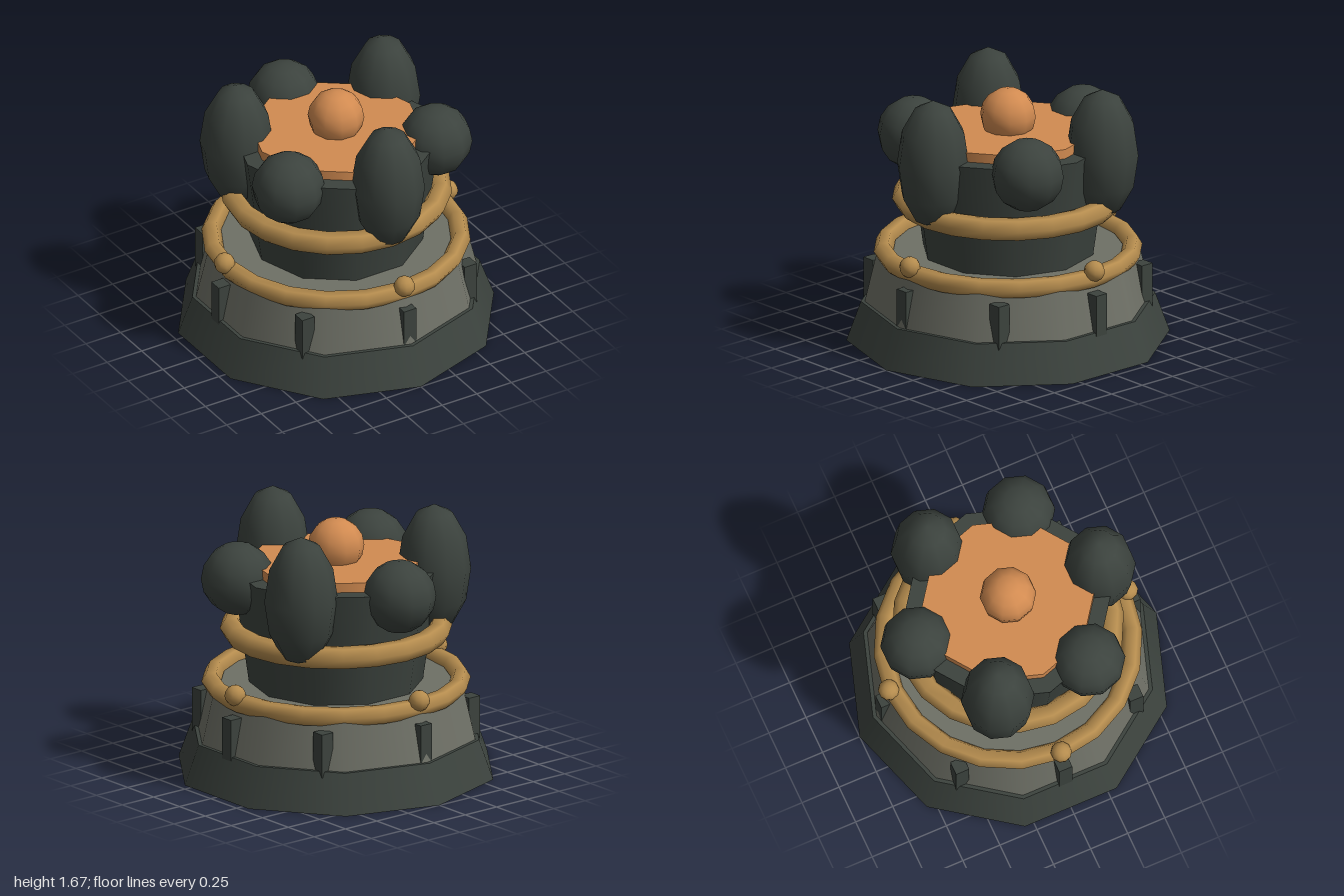
import * as THREE from 'three';

const mat = (name, color) => {
  const m = new THREE.MeshStandardMaterial({ color });
  m.name = name;
  return m;
};

export function createModel() {
  const group = new THREE.Group();
  const dark = mat('darkStone', 0x3c433e);
  const grey = mat('greyStone', 0x6e7066);
  const gold = mat('gold', 0xb58c4e);
  const amber = mat('amber', 0xd28b51);

  const add = (name, geometry, material, x = 0, y = 0, z = 0) => {
    const mesh = new THREE.Mesh(geometry, material);
    mesh.name = name;
    mesh.position.set(x, y, z);
    group.add(mesh);
    return mesh;
  };
  // Ten-sided tapered drum between two heights
  const drum = (name, material, y0, y1, r0, r1, turn = 0) =>
    add(name, new THREE.CylinderGeometry(r1, r0, y1 - y0, 10, 1, false, turn), material, 0, (y0 + y1) / 2);
  const ring = (name, radius, tube, y) =>
    add(name, new THREE.TorusGeometry(radius, tube, 6, 20).rotateX(Math.PI / 2), gold, 0, y);

  // Stepped base and column
  const turn = Math.PI / 10;
  drum('base', dark, 0, 0.25, 1, 0.91);
  drum('lowerTier', grey, 0.25, 0.565, 0.886, 0.812);
  drum('column', dark, 0.55, 1.29, 0.535, 0.64, turn);
  drum('topPlate', amber, 1.28, 1.35, 0.535, 0.535, turn);
  add('centreOrb', new THREE.SphereGeometry(0.175, 10, 8), amber, 0, 1.435, 0);

  // Gold bands
  ring('lowerBand', 0.77, 0.061, 0.571);
  ring('upperBand', 0.645, 0.072, 0.913);

  // Square studs around the lower tier, all facing the same way
  const studGeo = new THREE.BoxGeometry(0.088, 0.28, 0.088);
  for (let i = 0; i < 8; i++) {
    const a = (i * Math.PI) / 4;
    add('stud', studGeo, dark, 0.83 * Math.sin(a), 0.35, 0.83 * Math.cos(a));
  }

  // Gold beads on the lower band
  const beadGeo = new THREE.SphereGeometry(0.066, 10, 8);
  for (let i = 0; i < 4; i++) {
    const a = (i * Math.PI) / 2;
    add('bead', beadGeo, gold, 0.805 * Math.sin(a), 0.628, 0.805 * Math.cos(a));
  }

  // Crown of alternating tall and round lobes
  const lobeGeo = new THREE.SphereGeometry(0.228, 10, 8);
  const tallGeo = new THREE.SphereGeometry(0.228, 10, 6).scale(1, 1.82, 1);
  for (let i = 0; i < 6; i++) {
    const a = (i * Math.PI) / 3;
    const tall = i % 2 === 0;
    add(tall ? 'tallLobe' : 'roundLobe', tall ? tallGeo : lobeGeo, dark,
      0.613 * Math.sin(a), 1.255, 0.613 * Math.cos(a));
  }
  return group;
}
